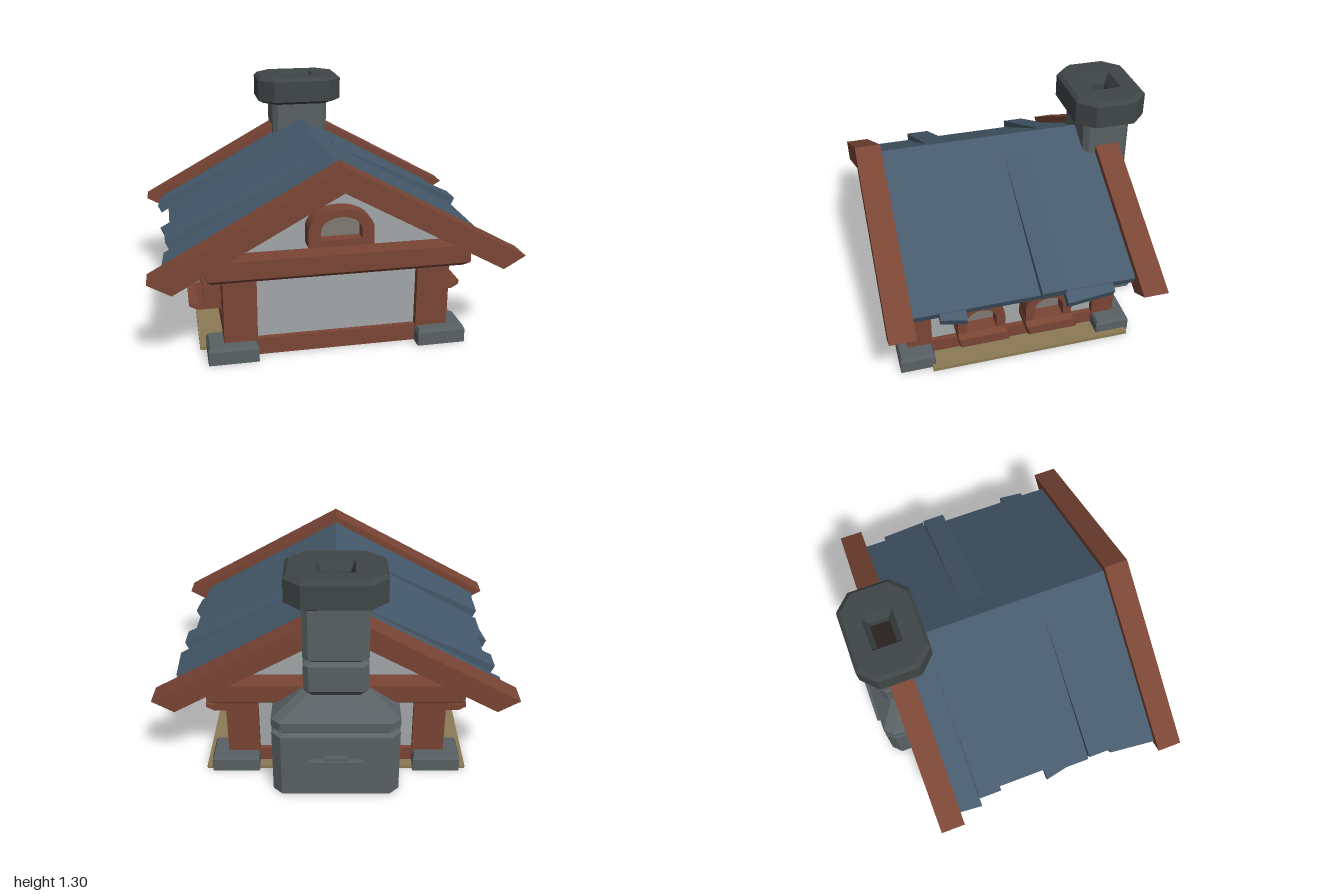
import * as THREE from 'three';

const mat = (color) => new THREE.MeshStandardMaterial({ color, flatShading: true, side: THREE.DoubleSide });
const wood = mat(0x7a4535), slate = mat(0x465a6c), stone = mat(0x5a6164), plaster = mat(0xa3a7a9),
  soot = mat(0x404647), glass = mat(0x807c73), earth = mat(0x8c7a55), dark = mat(0x2a2020);

const SLOPE = 0.55;

export function createModel() {
  const house = new THREE.Group();
  house.name = 'cottage';

  const add = (name, geo, material, parent = house) => {
    const m = new THREE.Mesh(geo, material);
    m.name = name;
    parent.add(m);
    return m;
  };
  // Box given by its limits
  const box = (name, x0, x1, y0, y1, z0, z1, material, parent) => {
    const m = add(name, new THREE.BoxGeometry(x1 - x0, y1 - y0, z1 - z0), material, parent);
    m.position.set((x0 + x1) / 2, (y0 + y1) / 2, (z0 + z1) / 2);
    return m;
  };
  const polygon = (pts) => new THREE.Shape(pts.map(([x, y]) => new THREE.Vector2(x, y)));
  const extrude = (shape, depth) => new THREE.ExtrudeGeometry(shape, { depth, bevelEnabled: false, curveSegments: 8 });

  // Solid through chamfered rectangles: [y, halfX, zBack, zFront, chamfer]
  const loft = (rings, capTop = true) => {
    const pos = [], idx = [];
    for (const [y, hx, z0, z1, c] of rings) {
      pos.push(hx, y, z0 + c, hx, y, z1 - c, hx - c, y, z1, -hx + c, y, z1,
        -hx, y, z1 - c, -hx, y, z0 + c, -hx + c, y, z0, hx - c, y, z0);
    }
    for (let r = 0; r < rings.length - 1; r++) {
      for (let i = 0; i < 8; i++) {
        const a = r * 8 + i, b = r * 8 + (i + 1) % 8;
        idx.push(a, a + 8, b, b, a + 8, b + 8);
      }
    }
    const top = (rings.length - 1) * 8;
    for (let i = 1; i < 7; i++) {
      idx.push(0, i, i + 1);
      if (capTop) idx.push(top, top + i + 1, top + i);
    }
    const g = new THREE.BufferGeometry();
    g.setAttribute('position', new THREE.Float32BufferAttribute(pos, 3));
    g.setIndex(idx);
    const flat = g.toNonIndexed();
    flat.computeVertexNormals();
    return flat;
  };

  // Ground plate, sill frame and plaster walls
  box('groundPlate', -0.745, 0.745, 0, 0.02, -0.58, 0.58, earth);
  box('sillFrame', -0.61, 0.61, 0.004, 0.1, -0.52, 0.69, wood);
  box('walls', -0.58, 0.58, 0.05, 0.5, -0.49, 0.66, plaster);
  const gable = extrude(polygon([[-0.7, 0.5], [0.7, 0.5], [0.7, 0.565], [0, 0.95], [-0.7, 0.565]]), 1.16);
  add('gableWalls', gable, plaster).position.z = -0.5;

  // Corner posts on foundation stones
  for (const s of [-1, 1]) {
    for (const [p0, p1, s0, s1] of [[0.56, 0.7, 0.56, 0.76], [-0.53, -0.4, -0.6, -0.4]]) {
      const px = [0.44 * s, 0.62 * s].sort((a, b) => a - b);
      box('cornerPost', px[0], px[1], 0.05, 0.5, p0, p1, wood);
      const foot = loft([[0, 0.135, s0, s1, 0.004], [0.075, 0.135, s0, s1, 0.004], [0.095, 0.125, s0 + 0.01, s1 - 0.01, 0.004]]);
      add('foundationStone', foot, stone).position.x = 0.575 * s;
    }
  }

  // Tie beam around the eaves with a bevelled underside
  add('eavesBeam', loft([[0.465, 0.68, -0.59, 0.75, 0.003], [0.49, 0.71, -0.62, 0.78, 0.003], [0.59, 0.71, -0.62, 0.78, 0.003]]), wood);

  // Gable boards
  const chevron = polygon([[0, 1.075], [-1, 0.525], [-0.88, 0.456], [0, 0.94], [0.88, 0.456], [1, 0.525]]);
  for (const [name, z] of [['frontGableBoards', 0.69], ['backGableBoards', -0.67]]) {
    add(name, extrude(chevron, 0.14), wood).position.z = z;
  }

  // Roof plank: runs down the slope, with a skewed end and a rising lift
  const plank = (name, side, z0, z1, start, endBack, endFront, lift0, lift1, thick = 0.045) => {
    const g = new THREE.BoxGeometry(1, 1, 1), p = g.attributes.position;
    for (let i = 0; i < p.count; i++) {
      const t = side * p.getX(i) + 0.5, front = p.getZ(i) > 0, low = p.getY(i) < 0;
      const x = start + ((front ? endFront : endBack) - start) * t;
      const y = 1.03 - SLOPE * x + lift0 + (lift1 - lift0) * t - (low ? thick : 0);
      p.setXYZ(i, side * (low && t > 0.5 ? x - 0.02 : x), y, front ? z1 : z0);
    }
    g.computeVertexNormals();
    add(name, g, slate);
  };
  // Per side: [zBack, zFront, start, endBack, endFront, lift]
  const planks = {
    '1': [[-0.4, -0.13, 0.5, 0.91, 0.93, -0.004], [-0.13, 0.005, 0.13, 0.9, 0.9, 0.05], [0.41, 0.55, 0.5, 0.92, 0.9, -0.004]],
    '-1': [[-0.53, -0.4, 0.5, 0.925, 0.935, -0.004], [-0.4, -0.27, 0.13, 0.9, 0.9, 0.05], [0.01, 0.14, 0.5, 0.925, 0.9, -0.004],
      [0.14, 0.28, 0.5, 0.9, 0.9, -0.004], [0.28, 0.42, 0.13, 0.9, 0.9, 0.05], [0.42, 0.69, 0.5, 0.91, 0.935, -0.004]],
  };
  for (const side of [1, -1]) {
    plank('roofSlope', side, -0.53, 0.69, 0, 0.87, 0.87, 0, 0);
    for (const [z0, z1, start, e0, e1, lift] of planks[side]) {
      plank('roofPlank', side, z0, z1, start, e0, e1, Math.min(lift, 0.003), lift);
    }
  }

  // Arched window; origin at the wall, bottom centre, opening towards +z
  const arch = (path, a, y0, spring, top) => {
    path.moveTo(-a, y0);
    path.lineTo(a, y0);
    path.lineTo(a, spring);
    path.absellipse(0, spring, a, top - spring, 0, Math.PI, false);
    path.lineTo(-a, y0);
    return path;
  };
  const archedWindow = (name, a, h, spring, inner, depth) => {
    const w = new THREE.Group();
    w.name = name;
    const frame = arch(new THREE.Shape(), a, 0, spring, h);
    frame.holes.push(arch(new THREE.Path(), inner.a, inner.y, inner.spring, inner.top));
    add('windowFrame', extrude(frame, depth), wood, w);
    const pane = arch(new THREE.Shape(), inner.a + 0.01, inner.y - 0.01, inner.spring, inner.top + 0.01);
    add('windowPane', extrude(pane, depth * 0.35), glass, w);
    house.add(w);
    return w;
  };

  archedWindow('gableWindow', 0.175, 0.2, 0.09, { a: 0.11, y: 0.035, spring: 0.085, top: 0.16 }, 0.1).position.set(0, 0.63, 0.66);

  for (const s of [-1, 1]) {
    for (const z of [0.29, -0.1]) {
      const w = archedWindow('sideWindow', 0.135, 0.24, 0.13, { a: 0.085, y: 0.05, spring: 0.12, top: 0.195 }, 0.13);
      w.position.set(0.58 * s, 0.17, z);
      w.rotation.y = s * Math.PI / 2;
      // Sill ledge with a bevelled lower edge and small lip
      const ledge = polygon([[0, 0], [0.165, 0], [0.21, 0.025], [0.21, 0.05], [0.165, 0.035], [0.13, 0.05], [0, 0.05]]);
      const sill = add('windowSill', extrude(ledge, 0.274), wood, w);
      sill.rotation.y = -Math.PI / 2;
      sill.position.x = 0.137;
    }
  }

  // Chimney: hearth block, shoulder and stack
  add('hearth', loft([
    [0, 0.35, -0.8, -0.45, 0.05], [0.38, 0.35, -0.8, -0.45, 0.05], [0.4, 0.33, -0.78, -0.45, 0.05],
    [0.42, 0.35, -0.8, -0.45, 0.05], [0.47, 0.35, -0.8, -0.45, 0.05], [0.59, 0.18, -0.68, -0.45, 0.04],
  ]), stone);
  add('chimneyStack', loft([
    [0.56, 0.15, -0.67, -0.46, 0.03], [0.63, 0.175, -0.735, -0.46, 0.03], [0.78, 0.175, -0.735, -0.46, 0.03],
    [0.8, 0.155, -0.71, -0.46, 0.03], [0.82, 0.175, -0.735, -0.46, 0.03], [1.16, 0.175, -0.735, -0.46, 0.03],
  ]), stone);
  box('raisedBricks', -0.15, 0.15, 0.18, 0.235, -0.83, -0.78, stone);
  box('raisedBricks', -0.06, 0.06, 0.14, 0.26, -0.82, -0.78, stone);

  // Chimney cap with a flue opening
  add('chimneyCap', loft([
    [1.13, 0.23, -0.77, -0.43, 0.08], [1.15, 0.265, -0.805, -0.395, 0.09], [1.28, 0.265, -0.805, -0.395, 0.09],
    [1.3, 0.245, -0.785, -0.415, 0.085], [1.3, 0.1, -0.69, -0.52, 0.01], [1.24, 0.075, -0.66, -0.55, 0.003],
    [1.18, 0.075, -0.66, -0.55, 0.003],
  ], false), soot);
  box('flue', -0.075, 0.075, 1.17, 1.19, -0.66, -0.55, dark);

  return house;
}
